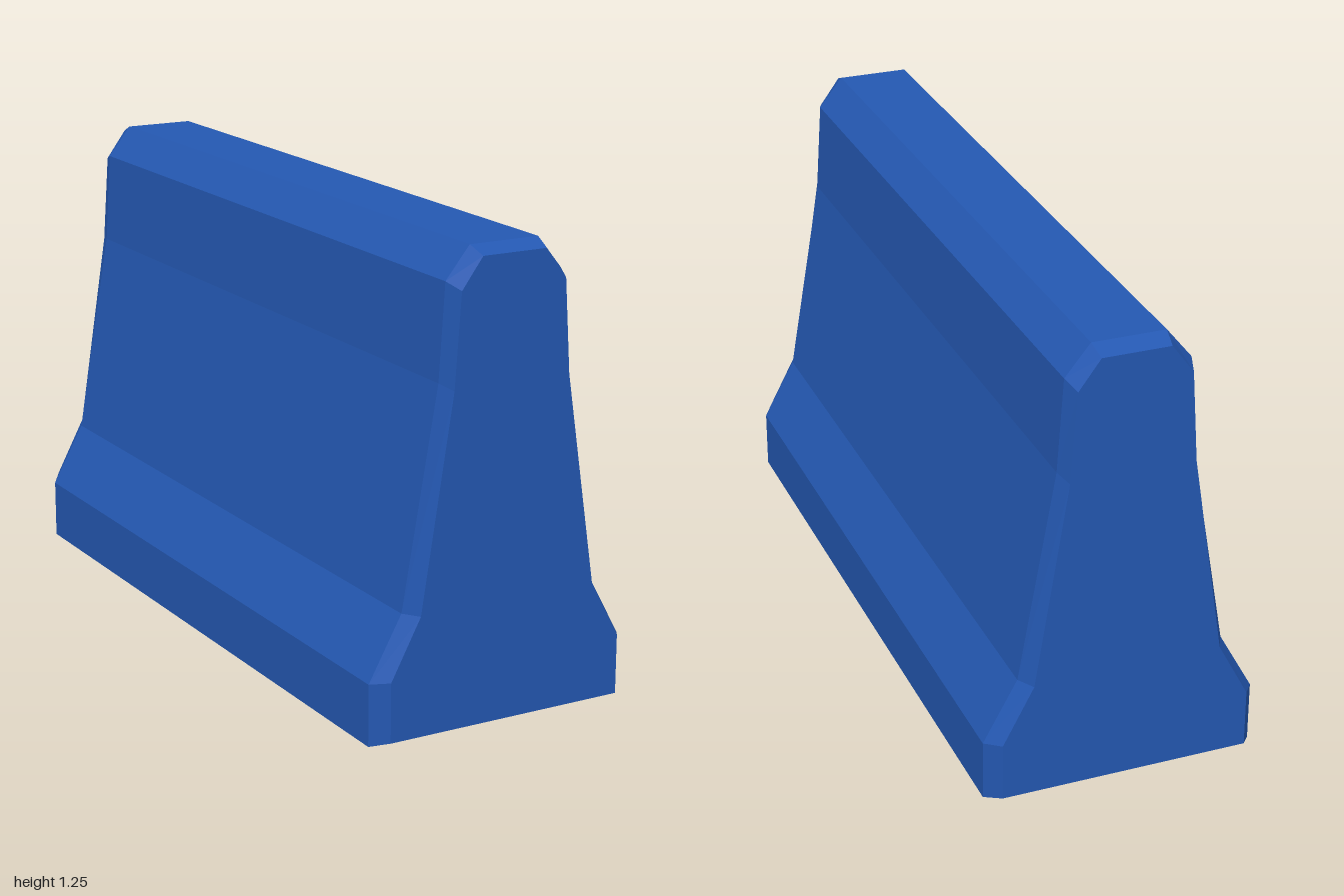
import * as THREE from 'three';

// Half profiles [x, y], from the foot up to the top edge
const BODY = [[0.375, 0], [0.375, 0.166], [0.282, 0.336], [0.183, 0.913], [0.167, 1.166], [0.099, 1.25]];
const END = [[0.34, 0.02], [0.34, 0.18], [0.256, 0.339], [0.168, 0.903], [0.151, 1.15], [0.092, 1.23]];

// Full cross-section at z: up the left side, over the top, down the right side
function section(half, z) {
  const left = half.map(([x, y]) => [x, y, z]);
  const right = half.map(([x, y]) => [-x, y, z]).reverse();
  return [...left, ...right];
}

// Flat-faced geometry from a list of quads
function quadGeometry(quads) {
  const positions = [];
  for (const [a, b, c, d] of quads) positions.push(...a, ...b, ...c, ...a, ...c, ...d);
  const geometry = new THREE.BufferGeometry();
  geometry.setAttribute('position', new THREE.Float32BufferAttribute(positions, 3));
  geometry.computeVertexNormals();
  return geometry;
}

// Strip joining a section to the next one behind it; open along the bottom
function skin(front, back) {
  const quads = [];
  for (let j = 0; j < front.length - 1; j++) quads.push([front[j], back[j], back[j + 1], front[j + 1]]);
  return quadGeometry(quads);
}

// End face filled with horizontal bands between the two sides
function endFace(ring, facingFront) {
  const quads = [];
  const last = ring.length - 1;
  for (let j = 0; j < ring.length / 2 - 1; j++) {
    const quad = [ring[j], ring[j + 1], ring[last - j - 1], ring[last - j]];
    quads.push(facingFront ? quad : quad.reverse());
  }
  return quadGeometry(quads);
}

export function createModel() {
  const group = new THREE.Group();
  group.name = 'roadBarrier';
  const blue = new THREE.MeshStandardMaterial({ color: 0x2458b2, flatShading: true, side: THREE.DoubleSide });
  blue.name = 'blue';

  const add = (name, geometry) => {
    const mesh = new THREE.Mesh(geometry, blue);
    mesh.name = name;
    group.add(mesh);
  };

  const frontEnd = section(END, 1);
  const frontBody = section(BODY, 0.95);
  const backBody = section(BODY, -0.95);
  const backEnd = section(END, -1);

  // Hollow shell with bevelled ends
  add('barrierBody', skin(frontBody, backBody));
  add('frontBevel', skin(frontEnd, frontBody));
  add('backBevel', skin(backBody, backEnd));
  add('frontFace', endFace(frontEnd, true));
  add('backFace', endFace(backEnd, false));

  return group;
}
